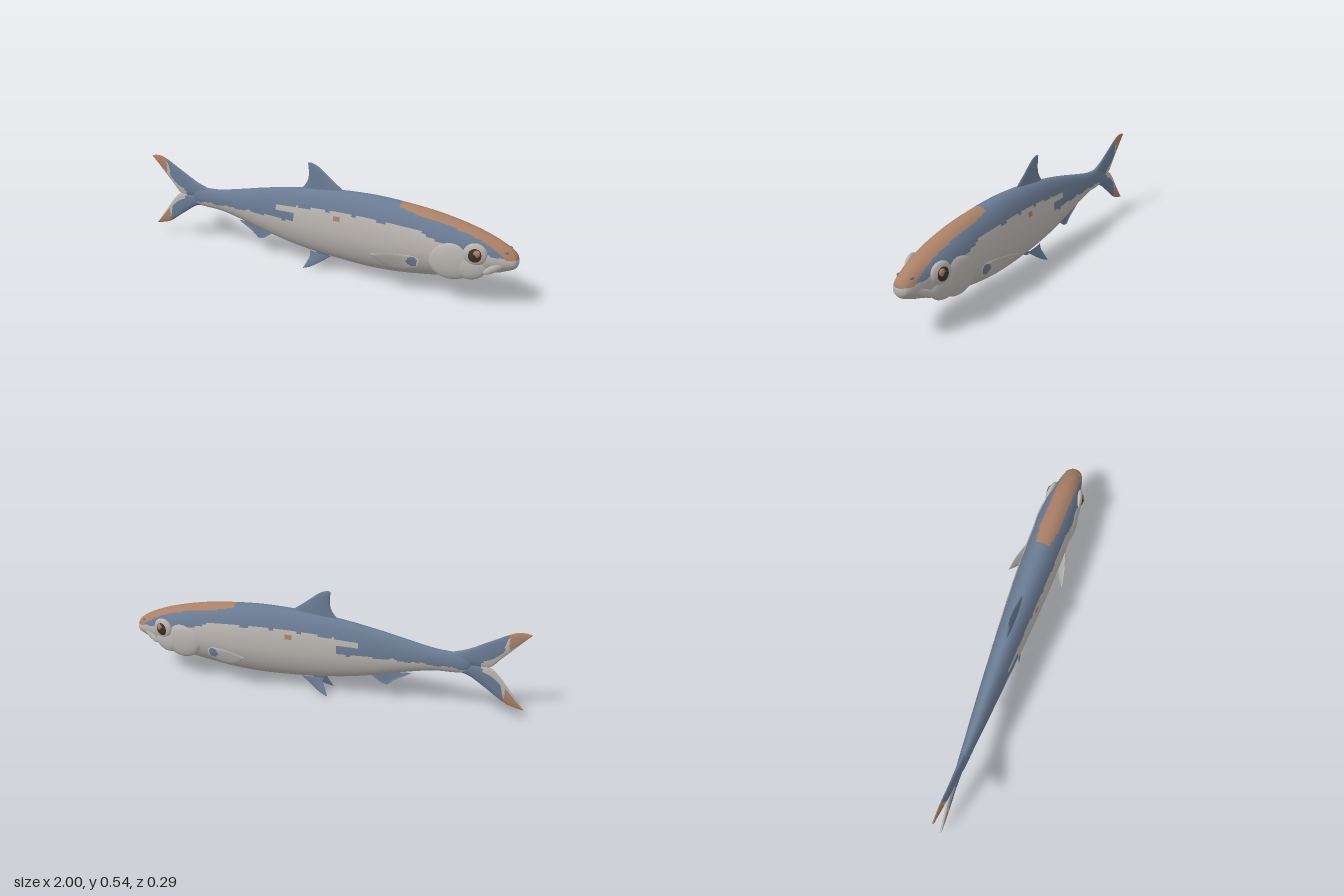
import * as THREE from 'three';

const mat = (name, color) => {
  const m = new THREE.MeshStandardMaterial({ color });
  m.name = name;
  return m;
};
const V = (x, y, z = 0) => new THREE.Vector3(x, y, z);
const curve = (pts) => new THREE.CatmullRomCurve3(pts.map((p) => V(...p)), false, 'catmullrom', 0.5);

// Linear interpolation through [x, y] pairs in ascending x
function along(pts, x) {
  if (x <= pts[0][0]) return pts[0][1];
  for (let i = 1; i < pts.length; i++) {
    if (x <= pts[i][0]) {
      const [a, b] = [pts[i - 1], pts[i]];
      return a[1] + ((b[1] - a[1]) * (x - a[0])) / (b[0] - a[0]);
    }
  }
  return pts[pts.length - 1][1];
}

// Closed-ring loft; pick() gives each cell its colour, faces are turned outward
function loft(nu, nv, point, pick, materials) {
  const pos = [], P = [], buckets = materials.map(() => []);
  for (let i = 0; i <= nu; i++) {
    for (let j = 0; j < nv; j++) {
      const p = point(i / nu, (j / nv) * Math.PI * 2);
      P.push(p);
      pos.push(p.x, p.y, p.z);
    }
  }
  let volume = 0;
  const tmp = V(0, 0);
  for (let i = 0; i < nu; i++) {
    for (let j = 0; j < nv; j++) {
      const k = (j + 1) % nv;
      const [a, b, c, d] = [i * nv + j, i * nv + k, (i + 1) * nv + k, (i + 1) * nv + j];
      const mid = P[a].clone().add(P[b]).add(P[c]).add(P[d]).multiplyScalar(0.25);
      buckets[pick(mid, (i + 0.5) / nu, ((j + 0.5) / nv) * Math.PI * 2)].push(a, b, c, a, c, d);
      volume += P[a].dot(tmp.crossVectors(P[b], P[c])) + P[a].dot(tmp.crossVectors(P[c], P[d]));
    }
  }
  const geo = new THREE.BufferGeometry();
  const index = [];
  buckets.forEach((list, m) => {
    if (!list.length) return;
    geo.addGroup(index.length, list.length, m);
    for (let t = 0; t < list.length; t += 3) {
      if (volume > 0) index.push(list[t], list[t + 1], list[t + 2]);
      else index.push(list[t], list[t + 2], list[t + 1]);
    }
  });
  geo.setAttribute('position', new THREE.Float32BufferAttribute(pos, 3));
  geo.setIndex(index);
  geo.computeVertexNormals();
  return new THREE.Mesh(geo, materials);
}

export function createModel() {
  const fish = new THREE.Group();
  fish.name = 'fish';
  const back = mat('blueBack', 0x6a7b93);
  const belly = mat('silverBelly', 0xb9b4b0);
  const tan = mat('tanMarking', 0xaa8067);
  const dark = mat('eyeDark', 0x3d342b);
  const skin = [back, belly, tan];
  const add = (name, mesh) => {
    mesh.name = name;
    fish.add(mesh);
    return mesh;
  };

  // Body stations: x, top, bottom, half width
  const stations = [
    [-0.75, 0.262, 0.256, 0.001], [-0.72, 0.3, 0.215, 0.016], [-0.66, 0.31, 0.206, 0.023],
    [-0.57, 0.316, 0.202, 0.03], [-0.45, 0.339, 0.178, 0.041], [-0.3, 0.371, 0.139, 0.053],
    [-0.15, 0.398, 0.106, 0.065], [0, 0.417, 0.085, 0.076], [0.15, 0.429, 0.073, 0.086],
    [0.3, 0.432, 0.067, 0.094], [0.45, 0.423, 0.074, 0.099], [0.6, 0.405, 0.094, 0.1],
    [0.72, 0.381, 0.115, 0.095], [0.82, 0.354, 0.14, 0.082], [0.9, 0.324, 0.167, 0.064],
    [0.955, 0.296, 0.187, 0.05], [0.985, 0.272, 0.202, 0.036], [0.996, 0.25, 0.218, 0.017],
    [0.999, 0.237, 0.235, 0.001],
  ];
  const heights = curve(stations.map(([x, t, b]) => [x, t, b]));
  const widths = curve(stations.map(([x, , , w]) => [x, w, 0]));
  const bodyPoint = (u, a) => {
    const h = heights.getPoint(u);
    const w = Math.max(widths.getPoint(u).y, 0.001);
    const yMid = h.z + (h.y - h.z) * 0.46;
    const s = Math.sin(a), c = Math.cos(a);
    return V(h.x, yMid + s * (s > 0 ? h.y - yMid : yMid - h.z), w * c * (s < 0 ? 1 - 0.1 * s * s : 1));
  };

  // Irregular border between the blue back and the silver flank
  const border = [
    [-0.75, 0.23], [-0.6, 0.24], [-0.4, 0.248], [-0.1, 0.25], [-0.099, 0.287], [-0.09, 0.325],
    [0, 0.336], [0.2, 0.343], [0.4, 0.337], [0.53, 0.34], [0.6, 0.315], [0.7, 0.29], [0.8, 0.28],
    [0.93, 0.26], [1, 0.25],
  ];
  const bodyColour = (p) => {
    const { x, y } = p;
    if (x > 0.44 && y > 0.252 && Math.abs(p.z) < Math.min(0.05, 0.035 + (x - 0.44) * 0.15)) return 2;
    if (((x - 0.14) / 0.022) ** 2 + ((y - 0.31) / 0.01) ** 2 < 1) return 2;
    if (x > -0.2 && x < -0.09 && y > 0.288 && y < 0.312 + (x + 0.2) * 0.12) return 1;
    const wobble = 0.004 * Math.sin(x * 47) + 0.002 * Math.sin(x * 131);
    return y > along(border, x) + wobble ? 0 : 1;
  };
  add('body', loft(230, 96, bodyPoint, bodyColour, skin));

  // Fins: lens-shaped webs between a leading and a trailing curve
  const fin = (name, lead, trail, thick, pick = () => 0) => {
    const A = curve(lead), B = curve(trail);
    const point = (u, a) => {
      const p = A.getPoint(u).lerp(B.getPoint(u), (1 - Math.cos(a)) / 2);
      p.z += Math.sin(a) * thick * (1 - 0.7 * u);
      return p;
    };
    return add(name, loft(36, 32, point, (p, u, a) => pick(p, (1 - Math.cos(a)) / 2), skin));
  };

  fin('dorsalFin',
    [[0.15, 0.42], [0.08, 0.471], [0.01, 0.525], [-0.03, 0.542], [-0.048, 0.541]],
    [[-0.09, 0.4], [-0.067, 0.428], [-0.05, 0.46], [-0.047, 0.5], [-0.051, 0.54]], 0.012);

  fin('analFin',
    [[-0.24, 0.14], [-0.28, 0.115], [-0.31, 0.095], [-0.34, 0.086]],
    [[-0.46, 0.168], [-0.43, 0.148], [-0.385, 0.122], [-0.345, 0.088]], 0.008);

  // Forked tail with pale trailing edge and tan tips
  const tailColour = (p, s) => {
    if (p.x < -0.915 + Math.abs(p.y - 0.26) * 0.1 && s < 0.75) return 2;
    if (p.x < -0.9 + s * 0.03) return 1;
    return p.x < -0.79 && s > 0.72 ? 1 : 0;
  };
  fin('upperTailLobe',
    [[-0.64, 0.308], [-0.72, 0.336], [-0.82, 0.39], [-0.92, 0.442], [-0.965, 0.449], [-1, 0.443]],
    [[-0.64, 0.25], [-0.74, 0.252], [-0.823, 0.256], [-0.87, 0.303], [-0.925, 0.362], [-0.998, 0.441]],
    0.015, tailColour);
  fin('lowerTailLobe',
    [[-0.64, 0.21], [-0.72, 0.204], [-0.81, 0.148], [-0.9, 0.085], [-0.955, 0.064], [-1, 0.054]],
    [[-0.64, 0.262], [-0.74, 0.26], [-0.823, 0.256], [-0.87, 0.22], [-0.925, 0.15], [-0.998, 0.056]],
    0.015, tailColour);

  for (const side of [1, -1]) {
    const label = side > 0 ? 'right' : 'left';
    const flip = (pts) => pts.map(([x, y, z]) => [x, y, z * side]);
    const partName = (s) => (side > 0 ? 'front' : 'rear') + s;

    // Paired fins
    fin(partName('PelvicFin'),
      flip([[0.09, 0.085, 0.026], [0.04, 0.05, 0.036], [-0.01, 0.018, 0.049], [-0.05, 0.003, 0.057]]),
      flip([[-0.03, 0.095, 0.026], [-0.025, 0.066, 0.035], [-0.04, 0.03, 0.048], [-0.052, 0.005, 0.057]]), 0.008);
    fin(partName('PectoralFin'),
      flip([[0.57, 0.205, 0.09], [0.48, 0.213, 0.115], [0.41, 0.21, 0.134], [0.345, 0.198, 0.145]]),
      flip([[0.56, 0.15, 0.088], [0.48, 0.126, 0.086], [0.41, 0.146, 0.112], [0.347, 0.194, 0.144]]), 0.008,
      (p) => (((p.x - 0.535) / 0.025) ** 2 + ((p.y - 0.18) / 0.025) ** 2 < 1 ? 0 : 1));

    // Head details: flattened domes lying on the body
    const dome = (name, material, at, size, yaw = 0, roll = 0) => {
      const mesh = add(partName(name), new THREE.Mesh(new THREE.SphereGeometry(1, 32, 20), material));
      mesh.position.set(at[0], at[1], at[2] * side);
      mesh.scale.set(...size);
      mesh.rotation.set(0, yaw * side, roll);
    };
    dome('GillCover', belly, [0.715, 0.216, 0.078], [0.108, 0.09, 0.026], 0.12);
    dome('CheekPlate', belly, [0.8, 0.2, 0.072], [0.075, 0.06, 0.02], 0.2);
    dome('UpperJawPlate', belly, [0.915, 0.215, 0.05], [0.068, 0.02, 0.012], 0.38, 0.55);
    dome('EyeRim', belly, [0.82, 0.266, 0.076], [0.054, 0.053, 0.019], 0.2);
    dome('Iris', dark, [0.821, 0.266, 0.081], [0.038, 0.04, 0.017], 0.2);
    dome('EyeGlint', tan, [0.828, 0.274, 0.086], [0.02, 0.021, 0.0135], 0.2);
    dome('Pupil', dark, [0.822, 0.268, 0.0895], [0.013, 0.015, 0.0115], 0.2);
    dome('Nostril', back, [0.95, 0.283, 0.036], [0.009, 0.006, 0.005], 0.5);
  }

  // Lower jaw under the snout
  const jaw = add('lowerJaw', new THREE.Mesh(new THREE.SphereGeometry(1, 32, 20), belly));
  jaw.position.set(0.93, 0.207, 0);
  jaw.scale.set(0.075, 0.027, 0.044);
  jaw.rotation.z = 0.45;

  return fish;
}
